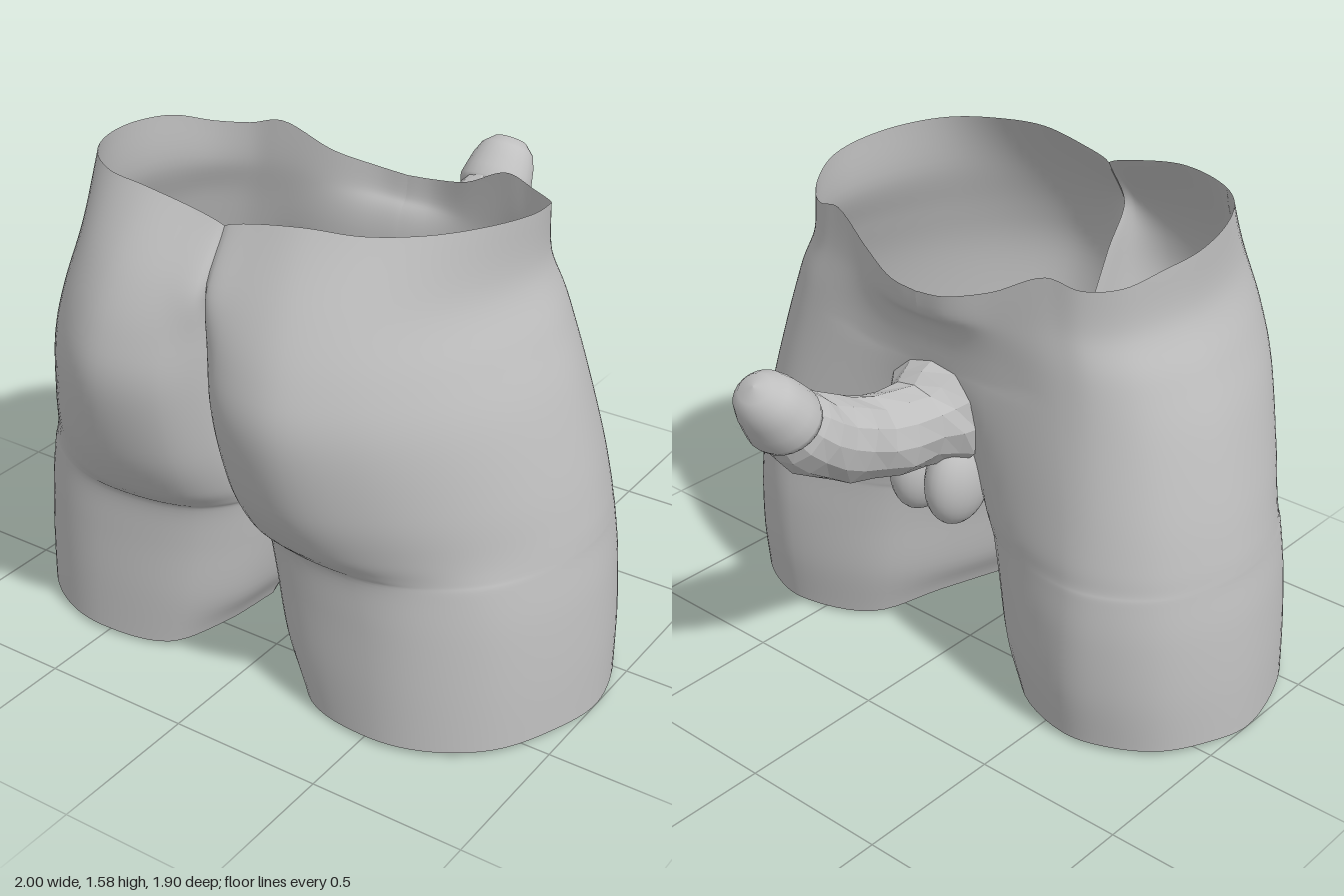
import * as THREE from 'three';

// Surface through a list of rings with equal point counts
function loft(rings, flip, faceted) {
  const n = rings[0].length, pos = [], idx = [];
  rings.forEach(r => r.forEach(p => pos.push(p.x, p.y, p.z)));
  for (let i = 0; i < rings.length - 1; i++) {
    for (let j = 0; j < n - 1; j++) {
      const a = i * n + j, b = a + 1, c = a + n, d = c + 1;
      if (flip) idx.push(a, c, b, b, c, d);
      else idx.push(a, b, c, b, d, c);
    }
  }
  let g = new THREE.BufferGeometry();
  g.setAttribute('position', new THREE.Float32BufferAttribute(pos, 3));
  g.setIndex(idx);
  if (faceted) g = g.toNonIndexed();
  g.computeVertexNormals();
  return g;
}

// Body levels: y, inner x, side x, back x, inner back z, back z, outer back z, front x, front z, inner front z
const levels = [
  [0.00, 0.14, 1.000, 0.53, 0.33, 0.750, 0.75, 0.59, -0.23, 0.33],
  [0.20, 0.06, 0.995, 0.52, 0.33, 0.750, 0.75, 0.59, -0.255, 0.33],
  [0.40, 0.015, 0.980, 0.50, 0.32, 0.745, 0.75, 0.59, -0.26, 0.32],
  [0.54, 0.00, 0.960, 0.45, 0.35, 0.745, 0.76, 0.59, -0.25, 0.22],
  [0.58, 0.00, 0.955, 0.41, 0.38, 0.770, 0.765, 0.58, -0.245, 0.17],
  [0.65, 0.00, 0.943, 0.37, 0.43, 0.830, 0.78, 0.57, -0.24, 0.09],
  [0.80, 0.00, 0.910, 0.34, 0.52, 0.900, 0.82, 0.55, -0.22, -0.03],
  [1.03, 0.00, 0.845, 0.32, 0.62, 0.945, 0.86, 0.50, -0.19, -0.16],
  [1.20, 0.00, 0.780, 0.31, 0.70, 0.915, 0.85, 0.48, -0.17, -0.19],
  [1.38, 0.00, 0.712, 0.30, 0.785, 0.830, 0.80, 0.44, -0.155, -0.23],
  [1.58, 0.00, 0.705, 0.28, 0.69, 0.695, 0.70, 0.42, -0.15, -0.25],
];
// Drop of the waist rim from the back centre round to the front centre
const sag = [0.06, 0.05, 0.03, 0, 0, 0, 0.01, 0.03, 0.05, 0.09, 0.1, 0.08, 0.16, 0.2, 0.21];
const columns = levels[0].slice(1).map((_, c) =>
  new THREE.SplineCurve(levels.map(r => new THREE.Vector2(r[0], r[c + 1]))));

// One cross-section of half the body
function bodyRing(t, side) {
  const y = columns[0].getPoint(t).x;
  const [xi0, xs, xb, zc, zb, zo, xf, zf, zfc] = columns.map(c => c.getPoint(t).y);
  const xi = Math.max(0, xi0), zm = 0.2, mix = THREE.MathUtils.lerp;
  const quarter = [[0.38, 0.92], [0.71, 0.71], [0.92, 0.38]];
  const inner = zfc < zf ? [[0.6, 0.55], [0.25, 0.06]] : [[0.44, 0.82], [0.17, 0.42]];
  const pts = [
    [xi, zc],
    [mix(xi, xb, 0.08), mix(zc, zb, 0.55)],
    [mix(xi, xb, 0.36), mix(zc, zb, 0.88)],
    [xb, zb],
    ...quarter.map(([a, b], i) => [mix(xb, xs, a), mix(zm, i ? zo : (zb + zo) / 2, b)]),
    [xs, zm],
    ...quarter.map(([a, b]) => [mix(xf, xs, b), mix(zm, zf, a)]),
    [xf, zf],
    ...inner.map(([a, b]) => [mix(xi, xf, a), mix(zfc, zf, b)]),
    [xi, zfc],
  ];
  const top = THREE.MathUtils.smoothstep(y, 1.2, 1.58);
  const hem = 1 - THREE.MathUtils.smoothstep(y, 0, 0.2);
  const curve = new THREE.CatmullRomCurve3(pts.map(([x, z], i) => {
    const lift = hem * (i < 2 || i > 12 ? 0.05 : i === 7 ? 0 : 0.015);
    return new THREE.Vector3(x, y - sag[i] * top + lift, z);
  }));
  const ring = [];
  for (let i = 0; i <= 84; i++) {
    const p = curve.getPoint(i / 84);
    p.x = side * Math.max(0, p.x);
    ring.push(p);
  }
  return ring;
}

// Faceted, curved shaft with a flared root
function shaftGeometry() {
  const path = new THREE.CatmullRomCurve3([
    [0.93, -0.17], [0.925, -0.25], [0.95, -0.44], [1.01, -0.6], [1.08, -0.72], [1.16, -0.805],
  ].map(([y, z]) => new THREE.Vector3(0, y, z)));
  const radii = [0.185, 0.16, 0.135, 0.136, 0.128, 0.132, 0.128, 0.125, 0.118, 0.1];
  const rings = radii.map((r, i) => {
    const t = i / (radii.length - 1), c = path.getPoint(t), d = path.getTangent(t);
    const ring = [];
    for (let j = 0; j <= 12; j++) {
      const k = j % 12, a = k / 12 * Math.PI * 2;
      const rr = r * (1 + 0.035 * Math.sin(i * 2.3 + k * 1.9));
      ring.push(new THREE.Vector3(
        rr * Math.cos(a), c.y - d.z * rr * Math.sin(a), c.z + d.y * rr * Math.sin(a)));
    }
    return ring;
  });
  return loft(rings, false, true);
}

export function createModel() {
  const group = new THREE.Group();
  const grey = new THREE.MeshStandardMaterial({ color: 0xc0c0c0, side: THREE.DoubleSide });
  grey.name = 'grey';
  const add = (name, geometry) => {
    const m = new THREE.Mesh(geometry, grey);
    m.name = name;
    group.add(m);
    return m;
  };

  // Open shell of hips and thighs, one half per side
  for (const side of [1, -1]) {
    const rings = [];
    for (let i = 0; i <= 60; i++) rings.push(bodyRing(i / 60, side));
    add(side > 0 ? 'leftHipAndThigh' : 'rightHipAndThigh', loft(rings, side < 0));

    // Scrotum lobe
    const lobe = add(side > 0 ? 'leftScrotum' : 'rightScrotum', new THREE.SphereGeometry(1, 24, 16));
    lobe.scale.set(0.09, 0.155, 0.125);
    lobe.position.set(side * 0.075, 0.71, -0.145);
    lobe.rotation.x = 0.15;
  }

  // Shaft and rounded head with a raised rim
  add('shaft', shaftGeometry());
  const profile = [[0.085, -0.035], [0.122, -0.02], [0.13, 0.005], [0.122, 0.045], [0.112, 0.09],
    [0.094, 0.135], [0.058, 0.168], [0, 0.18]].map(([r, h]) => new THREE.Vector2(r, h));
  const head = add('shaftHead', new THREE.LatheGeometry(profile, 24));
  head.position.set(0, 1.155, -0.807);
  head.rotation.x = -0.64;
  head.scale.z = 0.88;

  return group;
}
